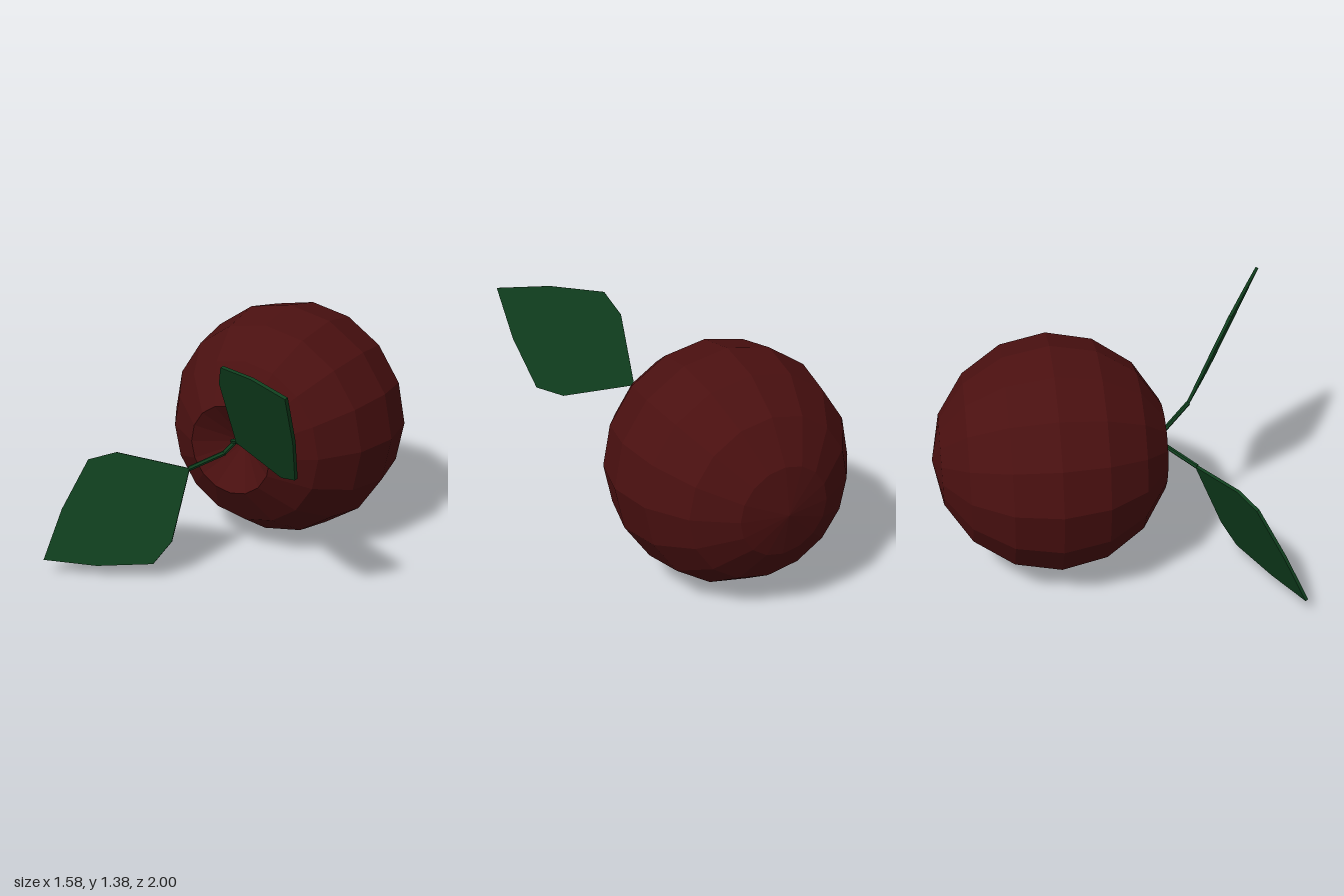
import * as THREE from 'three';

const RED = new THREE.MeshStandardMaterial({ color: 0x4a1010, flatShading: true });
const GREEN = new THREE.MeshStandardMaterial({ color: 0x103f1e, flatShading: true });

const vec = (a) => new THREE.Vector3(...a);

// Round fruit: a 16-sided ball lathed along z, with its front cap pushed inwards
function makeFruit() {
  const radius = 0.675;
  const profile = [];
  for (let i = 0; i <= 7; i++) {
    const a = (i * Math.PI) / 8;
    profile.push(new THREE.Vector2(radius * Math.sin(a), -radius * Math.cos(a)));
  }
  profile.push(new THREE.Vector2(0, 0.47));
  const fruit = new THREE.Mesh(new THREE.LatheGeometry(profile, 16).rotateX(Math.PI / 2), RED);
  fruit.position.set(0, 0.68, -0.325);
  fruit.name = 'fruit';
  return fruit;
}

// Bent stem: one thin rod per straight run, overlapping slightly at the bend
function makeStem(points) {
  const stem = new THREE.Group();
  for (let i = 0; i + 1 < points.length; i++) {
    const a = vec(points[i]), b = vec(points[i + 1]);
    const dir = b.clone().sub(a);
    const rod = new THREE.Mesh(new THREE.CylinderGeometry(0.014, 0.014, dir.length() + 0.01, 6), GREEN);
    rod.position.copy(a).add(b).multiplyScalar(0.5);
    rod.quaternion.setFromUnitVectors(new THREE.Vector3(0, 1, 0), dir.normalize());
    rod.name = 'stemRod';
    stem.add(rod);
  }
  return stem;
}

// Flat angular leaf, running from base to tip, spread along the side direction
function makeLeaf(base, tip, side) {
  const half = [[0.3, 0.29], [0.455, 0.34], [0.73, 0.185]];
  const outline = [[0, 0], ...half.map(([x, y]) => [x, -y]), [0.97, 0],
    ...half.slice().reverse()].map(([x, y]) => new THREE.Vector2(x, y));
  const thickness = 0.018;
  const geo = new THREE.ExtrudeGeometry(new THREE.Shape(outline), { depth: thickness, bevelEnabled: false });
  geo.translate(0, 0, -thickness / 2);
  const u = vec(tip).sub(vec(base)).normalize();
  const n = u.clone().cross(vec(side)).normalize();
  const v = n.clone().cross(u);
  const leaf = new THREE.Mesh(geo, GREEN);
  leaf.quaternion.setFromRotationMatrix(new THREE.Matrix4().makeBasis(u, v, n));
  leaf.position.copy(vec(base));
  return leaf;
}

export function createModel() {
  const model = new THREE.Group();
  model.name = 'fruitWithLeaves';
  model.add(makeFruit());

  // The two sprigs cross inside the hollow and spread to opposite corners
  const sprigs = [
    { name: 'left', path: [[0.025, 0.68, 0.14], [0.04, 0.755, 0.33], [0.17, 0.832, 0.48]],
      tip: [0.785, 1.37, 0.995], side: [0.65, -0.76, 0] },
    { name: 'right', path: [[0, 0.74, 0.14], [-0.02, 0.67, 0.33], [-0.145, 0.605, 0.48]],
      tip: [-0.785, 0.09, 0.995], side: [-0.64, 0.77, 0] },
  ];
  for (const { name, path, tip, side } of sprigs) {
    const stem = makeStem(path);
    stem.name = name + 'Stem';
    const leaf = makeLeaf(path[2], tip, side);
    leaf.name = name + 'Leaf';
    model.add(stem, leaf);
  }
  return model;
}
